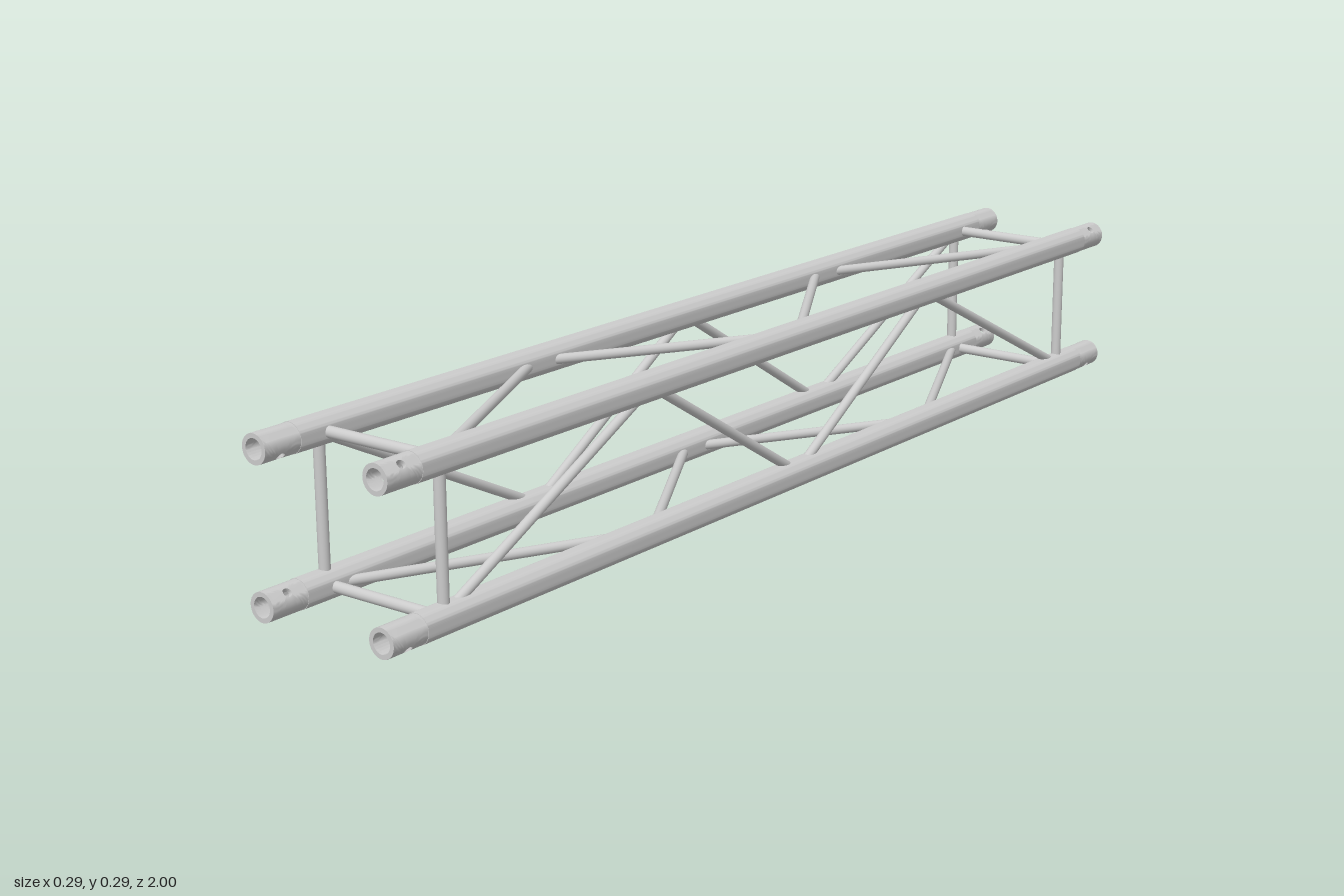
import * as THREE from 'three';
import { toCreasedNormals } from 'three/addons/utils/BufferGeometryUtils.js';

const HALF = 0.12;          // chord centre offset from the truss axis
const R = 0.0245, BORE = 0.0165;
const SLEEVE_R = 0.0239, SLEEVE_START = 0.93;
const metal = new THREE.MeshStandardMaterial({ color: 0xcccccc });

function add(parent, name, geometry) {
  const mesh = new THREE.Mesh(geometry, metal);
  mesh.name = name;
  parent.add(mesh);
  return mesh;
}

// Long hollow tube along z
function chordGeometry() {
  const ring = new THREE.Shape().absarc(0, 0, R, 0, Math.PI * 2);
  ring.holes.push(new THREE.Path().absarc(0, 0, BORE, 0, Math.PI * 2, true));
  const geo = new THREE.ExtrudeGeometry(ring, { depth: 2 * SLEEVE_START, bevelEnabled: false, curveSegments: 40 });
  return toCreasedNormals(geo.translate(0, 0, -SLEEVE_START), 0.6);
}

// Hollow end sleeve, cross-drilled along local x. Each half is a square patch
// wrapped round the cylinder, with rings shrinking from its border to the hole.
function sleeveGeometry() {
  const length = 1 - SLEEVE_START, hole = 0.0075, n = 64, steps = 5;
  const rows = [];
  for (let i = 0; i <= steps; i++) rows.push([1 - i / steps, SLEEVE_R]);
  for (let i = 0; i <= steps; i++) rows.push([i / steps, BORE]);
  rows.push([1, SLEEVE_R]);
  const positions = [], index = [];
  for (const phi of [0, Math.PI]) {
    const base = positions.length / 3;
    const border = [];
    for (let j = 0; j < n; j++) {
      const a = (j / n) * Math.PI * 2, c = Math.cos(a), s = Math.sin(a);
      const m = Math.max(Math.abs(c), Math.abs(s));
      border.push({ c, s, u: c / m, v: s / m });
    }
    for (const [t, radius] of rows) {
      for (const { c, s, u, v } of border) {
        const angle = phi + THREE.MathUtils.lerp((hole / SLEEVE_R) * c, (Math.PI / 2) * u, t);
        const z = THREE.MathUtils.lerp(hole * s, (length / 2) * v, t);
        positions.push(radius * Math.cos(angle), radius * Math.sin(angle), z);
      }
    }
    for (let i = 0; i < rows.length - 1; i++) {
      for (let j = 0; j < n; j++) {
        const k = (j + 1) % n;
        // the last band closes the ends only, not the seam between halves
        const seam = Math.abs(border[j].u) > 0.999 && Math.abs(border[k].u) > 0.999;
        if (i === rows.length - 2 && seam) continue;
        const A = base + i * n + j, B = base + i * n + k;
        index.push(A, B, B + n, A, B + n, A + n);
      }
    }
  }
  const geo = new THREE.BufferGeometry();
  geo.setAttribute('position', new THREE.Float32BufferAttribute(positions, 3));
  geo.setIndex(index);
  return toCreasedNormals(geo, 0.7);
}

// Round bar between two chords; slope is dz/dy, ends are cut parallel to the chords
function barGeometry(radius, slope) {
  const geo = new THREE.CylinderGeometry(radius, radius, 2 * (HALF - 0.0205), 20, 1, true);
  geo.scale(1, 1, Math.hypot(1, slope));
  return geo.applyMatrix4(new THREE.Matrix4().set(
    1, 0, 0, 0,
    0, 1, 0, 0,
    0, slope, 1, 0,
    0, 0, 0, 1));
}

export function createModel() {
  const truss = new THREE.Group();
  truss.name = 'boxTruss';
  const body = new THREE.Group();
  body.name = 'trussBody';
  body.position.y = HALF + R;
  truss.add(body);

  // Four chords with drilled sleeves at both ends
  const chordGeo = chordGeometry(), sleeveGeo = sleeveGeometry();
  for (const sx of [-1, 1]) {
    for (const sy of [-1, 1]) {
      const chord = new THREE.Group();
      chord.name = (sy > 0 ? 'upper' : 'lower') + (sx > 0 ? 'Left' : 'Right') + 'Chord';
      chord.position.set(sx * HALF, sy * HALF, 0);
      add(chord, 'chordTube', chordGeo);
      for (const end of [-1, 1]) {
        const sleeve = add(chord, end > 0 ? 'frontSleeve' : 'backSleeve', sleeveGeo);
        sleeve.position.z = end * (1 + SLEEVE_START) / 2;
        sleeve.rotation.z = Math.atan2(sy, sx);
      }
      body.add(chord);
    }
  }

  // Four lattice faces, each a quarter turn of the left one
  const nodes = [0.88, 0.395, 0, -0.395, -0.88];
  const endBarGeo = barGeometry(0.0092, 0);
  ['left', 'top', 'right', 'bottom'].forEach((side, q) => {
    const face = new THREE.Group();
    face.name = side + 'Lattice';
    face.rotation.z = q * Math.PI / 2;
    for (const end of [-1, 1]) {
      add(face, end > 0 ? 'frontEndBar' : 'backEndBar', endBarGeo).position.set(HALF, 0, end * 0.873);
    }
    for (let i = 0; i < nodes.length - 1; i++) {
      const rise = i % 2 ? -1 : 1;
      const slope = rise * (nodes[i + 1] - nodes[i]) / (2 * HALF);
      const brace = add(face, 'diagonalBrace', barGeometry(0.0083, slope));
      brace.position.set(HALF, 0, (nodes[i] + nodes[i + 1]) / 2);
    }
    body.add(face);
  });
  return truss;
}
